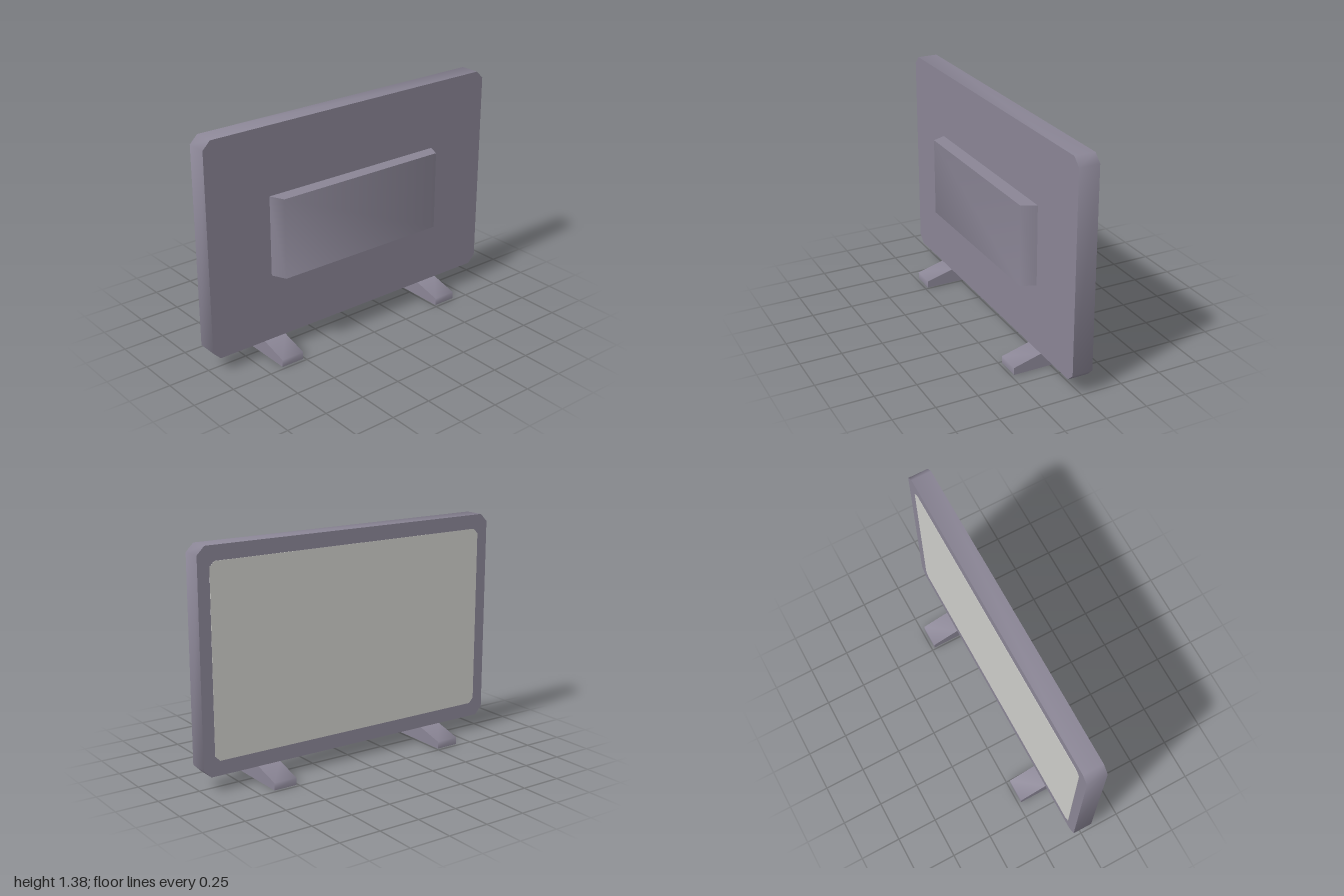
import * as THREE from 'three';
import { toCreasedNormals } from 'three/addons/utils/BufferGeometryUtils.js';

const casing = new THREE.MeshStandardMaterial({ name: 'casing grey', color: 0x8a8595 });
const glass = new THREE.MeshStandardMaterial({ name: 'screen pale grey', color: 0xcdcdc9 });

// Extrudes a closed outline along z; gentle corners shade smoothly, right angles stay sharp
function prism(points, depth) {
  const shape = new THREE.Shape(points.map(([x, y]) => new THREE.Vector2(x, y)));
  return new THREE.ExtrudeGeometry(shape, { depth, bevelEnabled: false });
}

// Rectangle outline with cut corners, centred on the origin
function cutRectangle(w, h, c) {
  const x = w / 2, y = h / 2;
  return [[-x + c, -y], [x - c, -y], [x, -y + c], [x, y - c],
    [x - c, y], [-x + c, y], [-x, y - c], [-x, -y + c]];
}

function addPart(group, name, geometry, material) {
  const mesh = new THREE.Mesh(toCreasedNormals(geometry, 1.35), material);
  mesh.name = name;
  group.add(mesh);
  return mesh;
}

export function createModel() {
  const model = new THREE.Group();
  model.name = 'television';
  const midY = 0.733;

  // Flat panel with cut corners, lying in the yz plane
  const panel = prism(cutRectangle(2, 1.287, 0.047), 0.122).rotateY(Math.PI / 2);
  addPart(model, 'panel', panel, casing).position.set(-0.061, midY, 0);

  // Screen, a thin plate on the -x face
  const screen = prism(cutRectangle(1.855, 1.115, 0.03), 0.003).rotateY(Math.PI / 2);
  addPart(model, 'screen', screen, glass).position.set(-0.063, midY, 0);

  // Rear housing with slanted ends
  const housing = prism([[0.055, -0.597], [0.145, -0.555], [0.145, 0.555], [0.055, 0.597]], 0.48)
    .rotateX(-Math.PI / 2);
  addPart(model, 'rearHousing', housing, casing).position.y = 0.49;

  // Two wedge feet
  const profile = [[-0.23, 0], [0.23, 0], [0.23, 0.044], [0.061, 0.09], [-0.061, 0.09], [-0.23, 0.044]];
  for (const [name, z] of [['frontFoot', 0.583], ['backFoot', -0.583]]) {
    addPart(model, name, prism(profile, 0.144), casing).position.z = z - 0.072;
  }
  return model;
}
